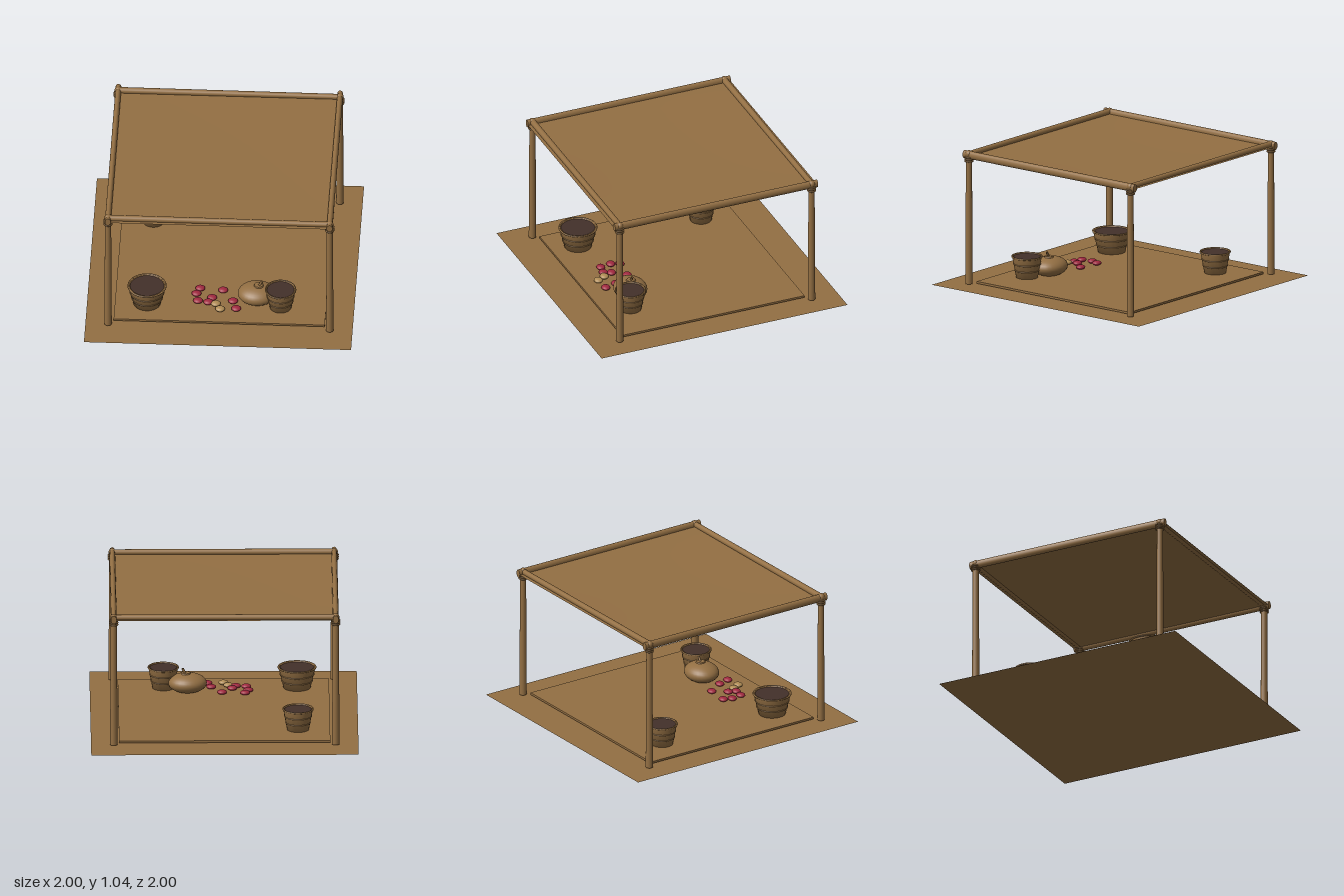
import * as THREE from 'three';

const mat = (name, color, side = THREE.FrontSide) => {
  const m = new THREE.MeshStandardMaterial({ color, side });
  m.name = name;
  return m;
};

export function createModel() {
  const wood = mat('wood', 0x936f43);
  const cloth = mat('cloth', 0x936f43, THREE.DoubleSide);
  const soil = mat('darkFilling', 0x43302a);
  const red = mat('redFruit', 0xa0283f);
  const tan = mat('tanFruit', 0xb08c55);
  const model = new THREE.Group();

  const add = (name, geo, material, x = 0, y = 0, z = 0, parent = model) => {
    const m = new THREE.Mesh(geo, material);
    m.name = name;
    m.position.set(x, y, z);
    parent.add(m);
    return m;
  };

  // Ground sheet and raised floor mat
  add('ground', new THREE.PlaneGeometry(2, 2).rotateX(-Math.PI / 2), cloth);
  add('floorMat', new THREE.BoxGeometry(1.58, 0.016, 1.48), wood, 0, 0.019, 0);

  // Posts with lashings and rounded joints
  for (const x of [-0.83, 0.83]) for (const z of [-0.78, 0.78]) {
    add('post', new THREE.CylinderGeometry(0.023, 0.028, 0.99, 16), wood, x, 0.507, z);
    for (const y of [0.957, 0.973, 0.989]) {
      add('lashing', new THREE.TorusGeometry(0.029, 0.006, 8, 20).rotateX(Math.PI / 2), wood, x, y, z);
    }
    add('joint', new THREE.SphereGeometry(0.028, 16, 12), wood, x, 1.012, z);
  }

  // Roof beams, slightly tapered
  for (const s of [-1, 1]) {
    add('crossBeam', new THREE.CylinderGeometry(0.024, 0.021, 1.68, 16).rotateZ(Math.PI / 2),
      wood, 0, 1.012, 0.78 * s);
    const side = add('sideBeam', new THREE.CylinderGeometry(0.022, 0.022, 1.65, 16).rotateX(Math.PI / 2),
      wood, 0.83 * s, 1.005, 0);
    side.scale.y = 1.4;
  }

  // Canopy cloth, sagging a little in the middle
  const canopy = new THREE.PlaneGeometry(1.69, 1.65, 12, 12).rotateX(-Math.PI / 2);
  const p = canopy.attributes.position;
  for (let i = 0; i < p.count; i++) {
    const u = p.getX(i) / 0.845, v = p.getZ(i) / 0.825;
    p.setY(i, -0.01 * (1 - u * u) * (1 - v * v));
  }
  canopy.computeVertexNormals();
  add('canopy', canopy, cloth, 0, 0.999, 0);

  // Baskets: tapered wall, hoops, rim and dark filling
  for (const [x, z, s] of [[-0.55, 0.53, 1], [0.45, 0.53, 0.8], [-0.55, -0.47, 0.8]]) {
    const basket = new THREE.Group();
    basket.name = 'basket';
    basket.position.set(x, 0.027, z);
    basket.scale.set(s, 1, s);
    model.add(basket);
    const wall = [[0, 0], [0.102, 0], [0.14, 0.162], [0.128, 0.162], [0.122, 0.135]];
    add('wall', new THREE.LatheGeometry(wall.map(([r, y]) => new THREE.Vector2(r, y)), 24),
      cloth, 0, 0, 0, basket);
    for (const y of [0.055, 0.105]) {
      add('hoop', new THREE.TorusGeometry(0.102 + y * 0.235, 0.005, 8, 28).rotateX(Math.PI / 2),
        wood, 0, y, 0, basket);
    }
    add('rim', new THREE.TorusGeometry(0.14, 0.007, 8, 28).rotateX(Math.PI / 2), wood, 0, 0.16, 0, basket);
    add('filling', new THREE.CylinderGeometry(0.13, 0.125, 0.012, 24), soil, 0, 0.152, 0, basket);
  }

  // Squash with a flat cap, base nub and bent stem
  const squash = new THREE.Group();
  squash.name = 'squash';
  squash.position.set(0.27, 0, 0.455);
  model.add(squash);
  add('body', new THREE.SphereGeometry(1, 28, 18), wood, 0, 0.09, 0, squash).scale.set(0.145, 0.074, 0.125);
  add('baseNub', new THREE.CylinderGeometry(0.035, 0.045, 0.015, 16), wood, 0, 0.015, 0, squash);
  add('cap', new THREE.CylinderGeometry(0.033, 0.038, 0.012, 12), wood, 0.012, 0.164, 0, squash);
  const stemPath = new THREE.CatmullRomCurve3([
    new THREE.Vector3(0.012, 0.16, 0), new THREE.Vector3(0.025, 0.18, 0), new THREE.Vector3(0.037, 0.202, 0)]);
  add('stem', new THREE.TubeGeometry(stemPath, 8, 0.009, 8), cloth, 0, 0, 0, squash);

  // Scattered flattened fruit
  const fruitGeo = new THREE.SphereGeometry(0.037, 16, 10).scale(1, 0.48, 0.9);
  const scatter = (name, material, spots) =>
    spots.forEach(([x, z]) => add(name, fruitGeo, material, x, 0.044, z));
  scatter('redFruit', red, [[-0.16, 0.355], [-0.185, 0.42], [-0.17, 0.507], [-0.066, 0.465],
    [-0.093, 0.52], [0.012, 0.37], [0.092, 0.498], [0.12, 0.59]]);
  scatter('tanFruit', tan, [[0.0, 0.6], [-0.035, 0.537]]);
  return model;
}
